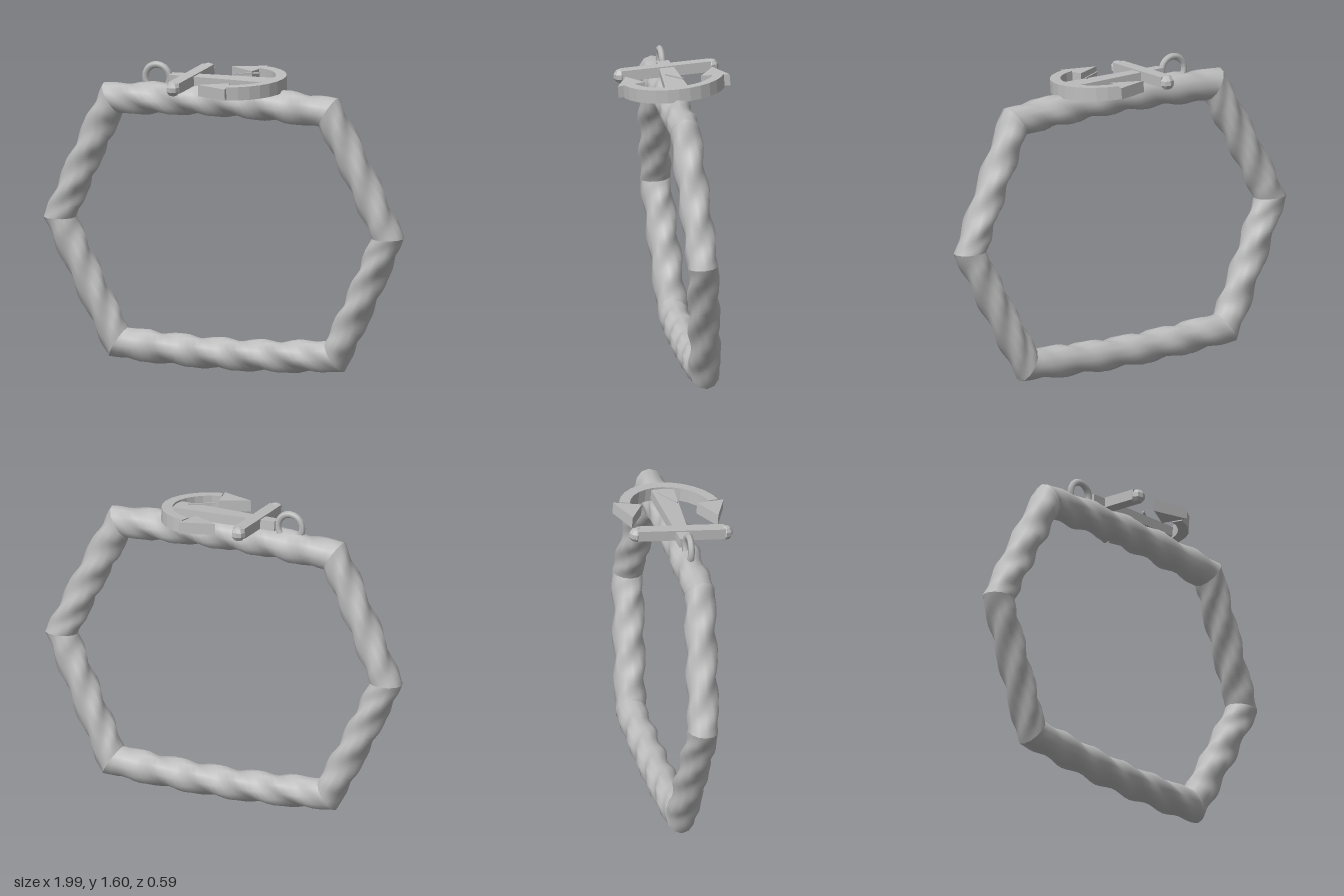
import * as THREE from 'three';

const metal = new THREE.MeshStandardMaterial({ color: 0xbcbcbc });
metal.name = 'grey metal';

function add(parent, name, geometry, x = 0, y = 0, z = 0) {
  const mesh = new THREE.Mesh(geometry, metal);
  mesh.name = name;
  mesh.position.set(x, y, z);
  parent.add(mesh);
  return mesh;
}

// Flat outline in x/z, given thickness in y and centred on y = 0
function slab(points, height) {
  const shape = new THREE.Shape(points.map(([x, z]) => new THREE.Vector2(x, z)));
  return new THREE.ExtrudeGeometry(shape, { depth: height, bevelEnabled: false })
    .rotateX(Math.PI / 2).translate(0, height / 2, 0);
}

// One twisted bar with mitred ends; the path runs counter-clockwise
function twistedBar(a, b, startHalf, endHalf, bow) {
  const sides = 12, steps = 36, radius = 0.078, lobes = 3, period = 0.235;
  const length = a.distanceTo(b);
  const dir = b.clone().sub(a).normalize();
  const out = new THREE.Vector2(dir.y, -dir.x);
  const positions = [], index = [];
  for (let i = 0; i <= steps; i++) {
    const t = i / steps;
    const fade = Math.min(1, 8 * Math.min(t, 1 - t));
    for (let j = 0; j < sides; j++) {
      const angle = (j / sides) * Math.PI * 2;
      const wave = Math.cos(lobes * angle + (t * length / period) * Math.PI * 2);
      const r = radius + 0.009 * fade * wave;
      const u = r * Math.cos(angle);
      const start = -u * Math.tan(startHalf), end = length + u * Math.tan(endHalf);
      const s = start + (end - start) * t;
      const off = u + bow * Math.sin(Math.PI * t);
      positions.push(a.x + dir.x * s + out.x * off, a.y + dir.y * s + out.y * off, r * Math.sin(angle));
      if (i < steps) {
        const k = i * sides + j, n = i * sides + (j + 1) % sides;
        index.push(k, k + sides, n, n, k + sides, n + sides);
      }
    }
  }
  const geometry = new THREE.BufferGeometry();
  geometry.setAttribute('position', new THREE.Float32BufferAttribute(positions, 3));
  geometry.setIndex(index);
  geometry.computeVertexNormals();
  return geometry;
}

function createBracelet() {
  const bracelet = new THREE.Group();
  bracelet.name = 'bracelet';
  const corners = [[0.91, 0], [0.6, 0.64], [-0.6, 0.64], [-0.91, 0], [-0.6, -0.64], [0.6, -0.64]]
    .map(([x, y]) => new THREE.Vector2(x, y));
  const at = i => corners[(i + 6) % 6];
  const halfTurn = i => {
    const before = at(i).clone().sub(at(i - 1)), after = at(i + 1).clone().sub(at(i));
    return Math.acos(before.dot(after) / (before.length() * after.length())) / 2;
  };
  for (let i = 0; i < 6; i++) {
    const level = at(i).y === at(i + 1).y;
    add(bracelet, 'twistedBar' + (i + 1),
      twistedBar(at(i), at(i + 1), halfTurn(i), halfTurn((i + 1) % 6), level ? 0.025 : 0.005));
  }
  return bracelet;
}

function createAnchor() {
  const anchor = new THREE.Group();
  anchor.name = 'anchor';

  // Shank widening towards the curved arms
  add(anchor, 'shank', slab([[-0.28, -0.03], [0.29, -0.06], [0.29, 0.06], [-0.28, 0.03]], 0.05));

  // Crossbar with faceted knobs
  add(anchor, 'crossbar', new THREE.BoxGeometry(0.065, 0.055, 0.46), -0.17, 0.004, 0);
  for (const side of [-1, 1]) {
    const knob = new THREE.SphereGeometry(0.038, 8, 5).toNonIndexed();
    knob.computeVertexNormals();
    add(anchor, 'crossbarKnob', knob, -0.17, 0, side * 0.235);
  }

  // Curved arms
  const outer = [], inner = [], segments = 12, reach = 1.34;
  for (let i = 0; i <= segments; i++) {
    const a = -reach + (2 * reach * i) / segments;
    outer.push([0.075 + 0.267 * Math.cos(a), 0.267 * Math.sin(a)]);
    inner.unshift([0.075 + 0.212 * Math.cos(a), 0.212 * Math.sin(a)]);
  }
  add(anchor, 'curvedArms', slab([...outer, ...inner], 0.07));

  // Arrow-shaped flukes
  for (const side of [-1, 1]) {
    const outline = [[-0.035, side * 0.225], [0.11, side * 0.145], [0.14, side * 0.29]];
    add(anchor, 'fluke', slab(outline, 0.06));
  }

  // Hanging ring
  add(anchor, 'ring', new THREE.TorusGeometry(0.068, 0.018, 6, 20), -0.355, 0, 0);

  // Thin pin lying over the shank
  const pin = add(anchor, 'pin', new THREE.BoxGeometry(0.14, 0.008, 0.008), 0.14, 0.05, -0.005);
  pin.rotation.y = 0.58;
  return anchor;
}

export function createModel() {
  const model = new THREE.Group();
  model.name = 'anchorBracelet';
  const tilted = new THREE.Group();
  tilted.name = 'tiltedBody';
  tilted.position.set(0, 0.755, -0.07);
  tilted.rotation.set(0.08, -0.08, 0);
  model.add(tilted);
  const anchor = createAnchor();
  anchor.position.set(0, 0.76, -0.015);
  tilted.add(createBracelet(), anchor);
  return model;
}
